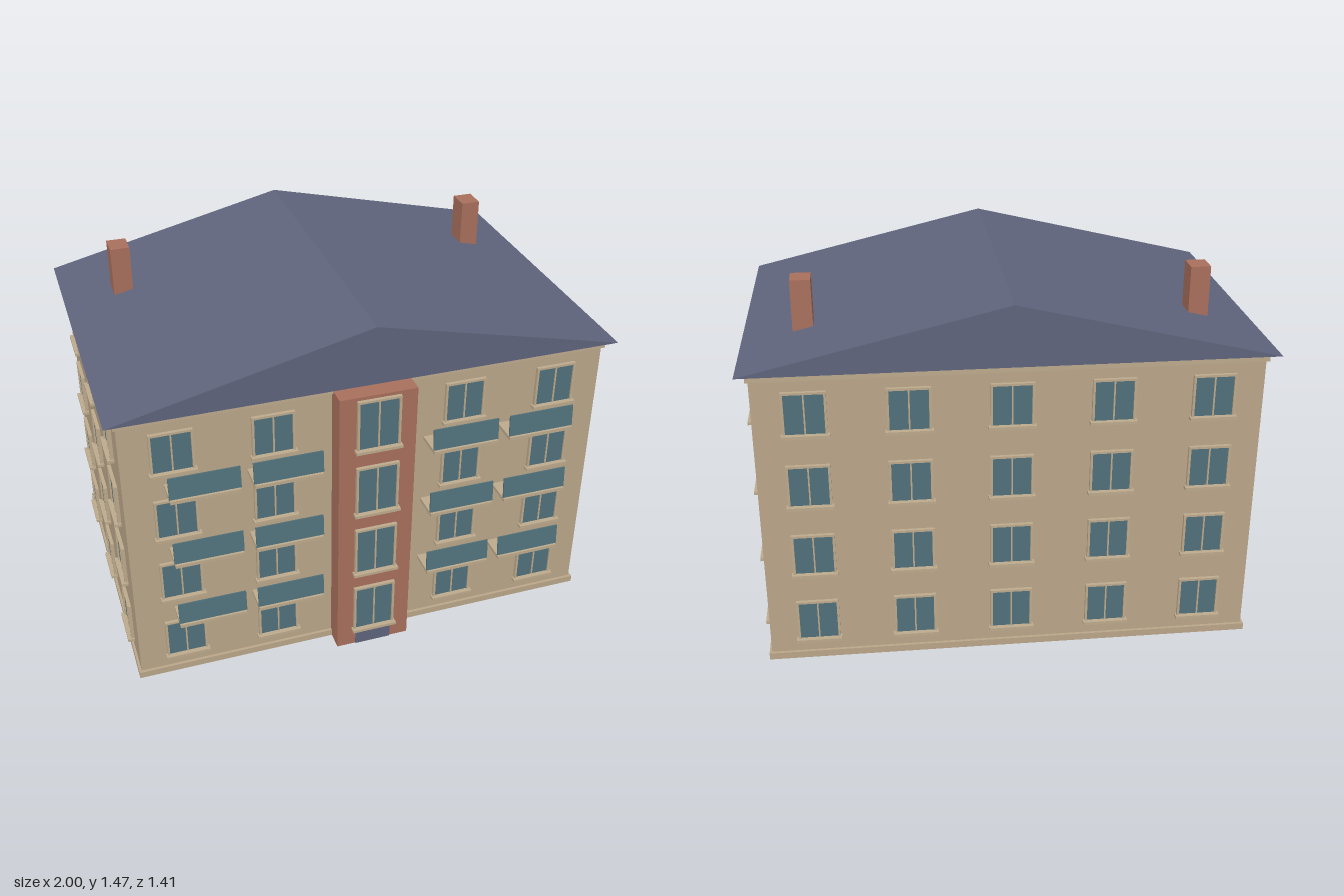
import * as THREE from 'three';

const mat = (name, color) => {
  const m = new THREE.MeshStandardMaterial({ color });
  m.name = name;
  return m;
};

export function createModel() {
  const wall = mat('plaster', 0xbaa689);
  const trim = mat('trim', 0xbdaa8d);
  const brick = mat('brick', 0xa86f5c);
  const slate = mat('slate', 0x5f647c);
  const glass = mat('glass', 0x50707a);

  const model = new THREE.Group();
  model.name = 'apartmentBuilding';

  // Box given by its minimum and maximum corners
  const box = (parent, name, material, [x0, y0, z0], [x1, y1, z1]) => {
    const mesh = new THREE.Mesh(new THREE.BoxGeometry(x1 - x0, y1 - y0, z1 - z0), material);
    mesh.position.set((x0 + x1) / 2, (y0 + y1) / 2, (z0 + z1) / 2);
    mesh.name = name;
    parent.add(mesh);
    return mesh;
  };

  // Main block, plinth and cornice
  box(model, 'walls', wall, [-0.955, 0, -0.653], [0.955, 1.2, 0.59]);
  box(model, 'plinth', wall, [-0.965, 0, -0.665], [0.965, 0.028, 0.602]);
  box(model, 'cornice', trim, [-0.965, 1.192, -0.665], [0.965, 1.214, 0.602]);

  // Gable roof with its ridge running front to back
  const gable = new THREE.Shape([
    new THREE.Vector2(-1, 1.225), new THREE.Vector2(1, 1.225), new THREE.Vector2(0, 1.462),
  ]);
  const roof = new THREE.Mesh(
    new THREE.ExtrudeGeometry(gable, { depth: 1.337, bevelEnabled: false }), slate);
  roof.position.z = -0.702;
  roof.name = 'roof';
  model.add(roof);

  // Chimneys
  for (const x of [-0.763, 0.763]) {
    box(model, 'chimney', brick, [x - 0.039, 1.2, -0.368], [x + 0.039, 1.473, -0.274]);
  }

  // Stairwell tower and entrance door
  box(model, 'stairwell', brick, [-0.153, 0, 0.55], [0.153, 1.204, 0.675]);
  box(model, 'entranceDoor', slate, [-0.075, 0, 0.67], [0.075, 0.21, 0.679]);

  // Window facing +z, with its base centred on the origin
  const addWindow = (x, y, z, turn, w, h) => {
    const g = new THREE.Group();
    g.name = 'window';
    const a = w / 2, b = 0.009, d = 0.014;
    box(g, 'pane', glass, [-a + b, 0.01, -0.002], [a - b, h - b, 0.007]);
    box(g, 'frameLeft', trim, [-a, 0, -0.002], [-a + b, h, d]);
    box(g, 'frameRight', trim, [a - b, 0, -0.002], [a, h, d]);
    box(g, 'frameTop', trim, [-a + b, h - b, -0.002], [a - b, h, d]);
    box(g, 'mullion', trim, [-0.003, 0.01, -0.002], [0.003, h - b, 0.011]);
    box(g, 'sill', trim, [-a - 0.007, -0.002, -0.002], [a + 0.007, 0.01, 0.027]);
    g.position.set(x, y, z);
    g.rotation.y = turn;
    model.add(g);
  };

  const columns = [-0.763, -0.382, 0, 0.382, 0.763];
  const storey = 0.296;
  for (let floor = 0; floor < 4; floor++) {
    const y = 0.081 + floor * storey;
    for (const x of columns) {
      if (x !== 0) addWindow(x, y, 0.59, 0, 0.165, 0.178);
      addWindow(x, y, -0.653, Math.PI, 0.165, 0.178);
    }
    addWindow(0, y, 0.675, 0, 0.172, 0.222);
    for (const z of [0.382, -0.032, -0.447]) {
      addWindow(0.955, y, z, Math.PI / 2, 0.157, 0.178);
      addWindow(-0.955, y, z, -Math.PI / 2, 0.157, 0.178);
    }
  }

  // Balconies: open-sided slab with a leaning front panel
  for (let floor = 1; floor < 4; floor++) {
    const y = 0.314 + (floor - 1) * storey;
    for (const x of [-0.668, -0.353, 0.353, 0.668]) {
      box(model, 'balconySlab', trim, [x - 0.132, y, 0.58], [x + 0.132, y + 0.014, 0.704]);
      const panel = box(model, 'balconyPanel', glass,
        [x - 0.134, y + 0.018, 0.69], [x + 0.134, y + 0.106, 0.696]);
      panel.rotation.x = -0.09;
    }
  }

  return model;
}
